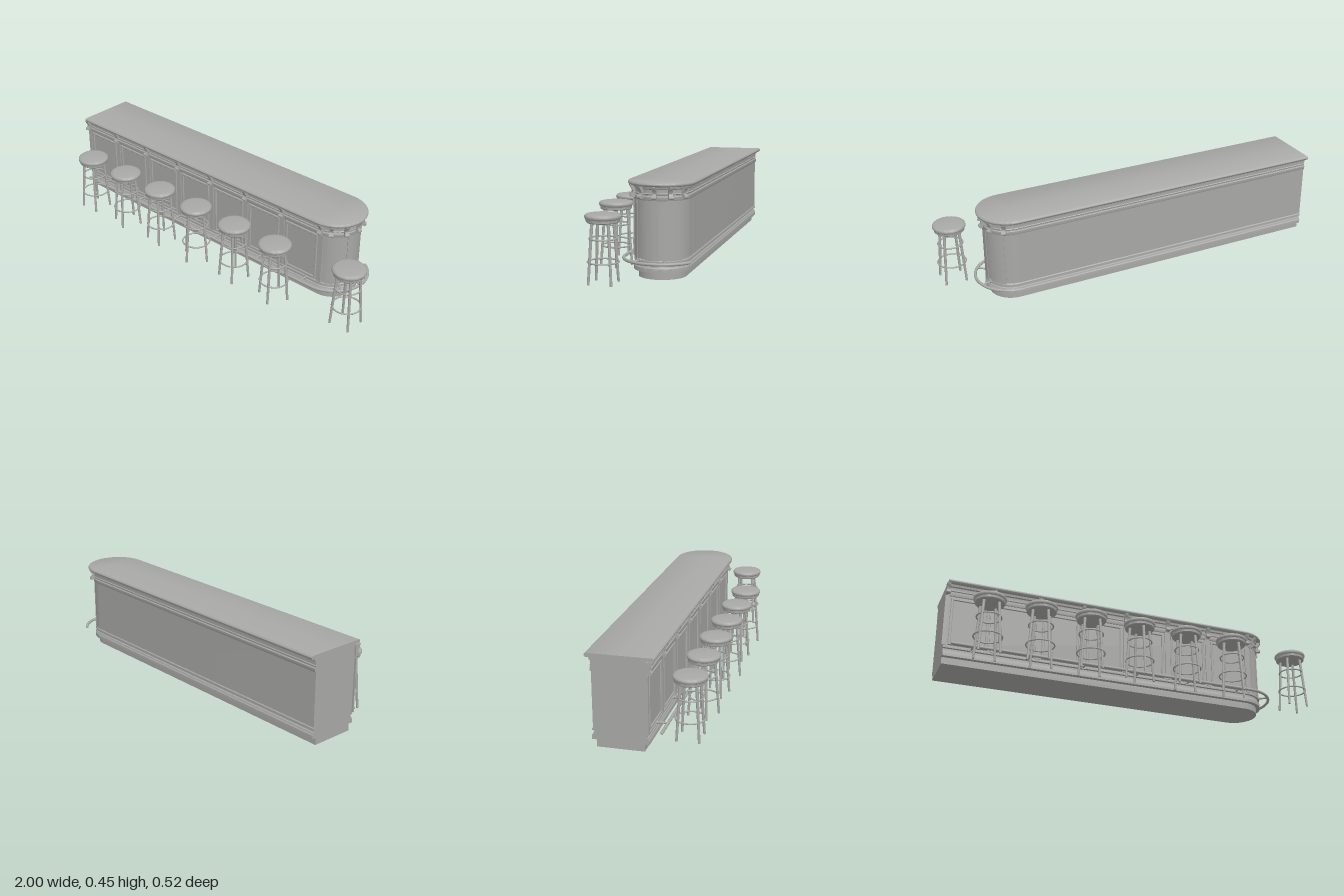
import * as THREE from 'three';
import { mergeGeometries, toCreasedNormals } from 'three/addons/utils/BufferGeometryUtils.js';

const grey = new THREE.MeshStandardMaterial({ color: 0xa8a8a6 });
grey.name = 'warm grey';

// The counter runs from a flat left end to a half-round right end
const LEFT = -0.99, CX = 0.67, CZ = -0.1;

function part(name, geometry, parent) {
  const mesh = new THREE.Mesh(geometry, grey);
  mesh.name = name;
  parent.add(mesh);
  return mesh;
}

// Sweeps a profile of [radius, height] around the counter outline and caps the left end
function sweepCounter(profile) {
  const stations = [[LEFT, 0, 1]];
  for (let i = 0; i <= 40; i++) {
    const a = Math.PI / 2 - (i / 40) * Math.PI;
    stations.push([CX, Math.cos(a), Math.sin(a)]);
  }
  stations.push([LEFT, 0, -1]);
  const pos = [], index = [], n = profile.length;
  for (const [x, nx, nz] of stations)
    for (const [r, y] of profile) pos.push(x + nx * r, y, CZ + nz * r);
  for (let i = 0; i < stations.length - 1; i++)
    for (let j = 0; j < n - 1; j++) {
      const a = i * n + j, b = a + n;
      index.push(a, b, b + 1, a, b + 1, a + 1);
    }
  const side = new THREE.BufferGeometry();
  side.setAttribute('position', new THREE.Float32BufferAttribute(pos, 3));
  side.setIndex(index);
  const outline = profile.map(([r, y]) => new THREE.Vector2(r, y));
  const mirrored = profile.slice(1, -1).reverse().map(([r, y]) => new THREE.Vector2(-r, y));
  const cap = new THREE.ShapeGeometry(new THREE.Shape([...outline, ...mirrored]));
  cap.rotateY(-Math.PI / 2).translate(LEFT, 0, CZ);
  cap.deleteAttribute('uv');
  cap.deleteAttribute('normal');
  return toCreasedNormals(mergeGeometries([side.toNonIndexed(), cap.toNonIndexed()]), 0.6);
}

// Curved scroll bracket, drawn as outward distance against height
function bracketGeometry() {
  const s = new THREE.Shape();
  s.moveTo(0.125, 0.432);
  s.lineTo(0.157, 0.432);
  s.bezierCurveTo(0.155, 0.415, 0.143, 0.412, 0.143, 0.4);
  s.bezierCurveTo(0.143, 0.392, 0.15, 0.39, 0.152, 0.383);
  s.lineTo(0.148, 0.374);
  s.lineTo(0.125, 0.374);
  s.closePath();
  const body = new THREE.ExtrudeGeometry(s, { depth: 0.018, bevelEnabled: false, curveSegments: 6 });
  body.translate(0, 0, -0.009);
  const scroll = new THREE.CylinderGeometry(0.008, 0.008, 0.023, 14);
  scroll.rotateX(Math.PI / 2).translate(0.147, 0.381, 0);
  return mergeGeometries([toCreasedNormals(body, 0.6), scroll.toNonIndexed()]);
}

// Bevelled rectangular moulding with an open middle
function frameGeometry(w, h, border) {
  const rect = (C, x, y) => new C([[-x, -y], [x, -y], [x, y], [-x, y]].map(p => new THREE.Vector2(...p)));
  const shape = rect(THREE.Shape, w / 2, h / 2);
  shape.holes.push(rect(THREE.Path, w / 2 - border, h / 2 - border));
  return new THREE.ExtrudeGeometry(shape, {
    depth: 0.004, bevelThickness: 0.003, bevelSize: 0.003, bevelOffset: -0.003, bevelSegments: 1,
  });
}

// Slightly raised stave following the rounded end
function staveGeometry(from, to) {
  const s = new THREE.Shape();
  const a = THREE.MathUtils.degToRad(from), b = THREE.MathUtils.degToRad(to);
  s.absarc(0, 0, 0.132, a, b, false);
  s.absarc(0, 0, 0.12, b, a, true);
  const g = new THREE.ExtrudeGeometry(s, { depth: 0.28, bevelEnabled: false, curveSegments: 8 });
  return toCreasedNormals(g.rotateX(-Math.PI / 2), 0.6).translate(CX, 0.09, CZ);
}

function createStool() {
  const stool = new THREE.Group();
  stool.name = 'stool';
  const profile = [[0, 0.28], [0.072, 0.28], [0.076, 0.284], [0.076, 0.296], [0.08, 0.298], [0.083, 0.304],
    [0.082, 0.312], [0.077, 0.317], [0.066, 0.319], [0, 0.32]].map(p => new THREE.Vector2(...p));
  part('seat', toCreasedNormals(new THREE.LatheGeometry(profile, 40), 0.7), stool);

  // Nail heads around the seat band
  const studs = [];
  for (let i = 0; i < 32; i++) {
    const a = (i / 32) * Math.PI * 2;
    studs.push(new THREE.SphereGeometry(0.0025, 6, 4).translate(Math.cos(a) * 0.0765, 0.296, Math.sin(a) * 0.0765));
  }
  part('seatStuds', mergeGeometries(studs), stool);

  // Splayed legs
  const up = new THREE.Vector3(0, 1, 0);
  for (let i = 0; i < 4; i++) {
    const a = (i * Math.PI) / 2;
    const foot = new THREE.Vector3(Math.cos(a) * 0.076, 0.001, Math.sin(a) * 0.076);
    const head = new THREE.Vector3(Math.cos(a) * 0.054, 0.285, Math.sin(a) * 0.054);
    const leg = part('leg', new THREE.CylinderGeometry(0.0075, 0.006, foot.distanceTo(head), 12), stool);
    leg.position.copy(foot).lerp(head, 0.5);
    leg.quaternion.setFromUnitVectors(up, head.clone().sub(foot).normalize());
  }
  for (const [y, r] of [[0.101, 0.071], [0.207, 0.062]]) {
    const ring = part('footRing', new THREE.TorusGeometry(r, 0.004, 8, 40), stool);
    ring.rotation.x = Math.PI / 2;
    ring.position.y = y;
  }
  return stool;
}

export function createModel() {
  const model = new THREE.Group();
  model.name = 'barCounterWithStools';
  const counter = new THREE.Group();
  counter.name = 'counter';
  model.add(counter);

  part('plinth', sweepCounter([[0, 0], [0.113, 0], [0.113, 0.035], [0.135, 0.035], [0.135, 0.054],
    [0.131, 0.058], [0.129, 0.065], [0.124, 0.068], [0.124, 0.078], [0.133, 0.08], [0.133, 0.088],
    [0.128, 0.094], [0, 0.094]]), counter);
  part('body', sweepCounter([[0, 0.09], [0.129, 0.09], [0.129, 0.372], [0, 0.372]]), counter);
  part('cornice', sweepCounter([[0, 0.366], [0.133, 0.366], [0.135, 0.37], [0.135, 0.384], [0.131, 0.387],
    [0.131, 0.392], [0.134, 0.396], [0.131, 0.4], [0.131, 0.416], [0.137, 0.42], [0.14, 0.432], [0, 0.432]]), counter);
  part('countertop', sweepCounter([[0, 0.431], [0.153, 0.431], [0.157, 0.433], [0.16, 0.438], [0.16, 0.443],
    [0.157, 0.448], [0.153, 0.45], [0, 0.45]]), counter);

  // Front panels with pilasters and brackets between them
  const step = 0.2395, front = CZ + 0.129, bracket = bracketGeometry();
  const placeBracket = (x, angle) => {
    const b = part('bracket', bracket, counter);
    b.position.set(x, 0, CZ);
    b.rotation.y = -angle;
  };
  for (let i = 0; i < 8; i++) {
    const x = -0.989 + i * step;
    placeBracket(x, Math.PI / 2);
    const pilaster = part('pilaster', new THREE.BoxGeometry(i ? 0.026 : 0.02, 0.276, 0.006), counter);
    pilaster.position.set(x, 0.23, front + 0.002);
    if (i === 7) break;
    part('panelFrame', frameGeometry(0.2, 0.262, 0.014), counter).position.set(x + step / 2, 0.228, front - 0.002);
  }
  for (const deg of [60, 30, 0, -30, -60]) placeBracket(CX, THREE.MathUtils.degToRad(deg));

  // Staves on the rounded end
  for (const [a, b] of [[-69, -49], [-23, 8], [18, 58]]) part('endStave', staveGeometry(a, b), counter);

  // Foot rail following the front and the rounded end
  const railY = 0.085, railR = 0.183, path = new THREE.CurvePath();
  const bend = [];
  for (let i = 0; i <= 24; i++) {
    const a = Math.PI / 2 - (i / 24) * THREE.MathUtils.degToRad(146);
    bend.push(new THREE.Vector3(CX + Math.cos(a) * railR, railY, CZ + Math.sin(a) * railR));
  }
  path.add(new THREE.LineCurve3(new THREE.Vector3(-0.955, railY, CZ + railR), bend[0]));
  path.add(new THREE.CatmullRomCurve3(bend));
  part('footRail', new THREE.TubeGeometry(path, 160, 0.0075, 12), counter);
  const ends = [path.getPoint(0), path.getPoint(1)];
  for (const p of ends) part('railEnd', new THREE.SphereGeometry(0.0078, 12, 8), counter).position.copy(p);

  // Rail supports
  const support = new THREE.CylinderGeometry(0.005, 0.005, 0.06, 10).rotateZ(Math.PI / 2).translate(0.154, railY, 0);
  const flange = new THREE.CylinderGeometry(0.01, 0.01, 0.008, 14).rotateZ(Math.PI / 2).translate(0.133, railY, 0);
  const supportGeometry = mergeGeometries([support, flange]);
  const supports = [38, -18].map(d => [CX, THREE.MathUtils.degToRad(d)]);
  for (let i = 0; i < 6; i++) supports.push([-0.85 + i * 0.292, Math.PI / 2]);
  for (const [x, a] of supports) {
    const s = part('railSupport', supportGeometry, counter);
    s.position.set(x, 0, CZ);
    s.rotation.y = -a;
  }

  // Stools: six along the front and one by the rounded end
  const turns = [0.785, 0.4, 0.6, 0, 0.6, 0.3, 0.785];
  turns.forEach((turn, i) => {
    const stool = createStool();
    stool.position.set(i < 6 ? -0.802 + i * 0.2645 : 0.915, 0, i < 6 ? 0.177 : 0.109);
    stool.rotation.y = turn;
    model.add(stool);
  });
  return model;
}
